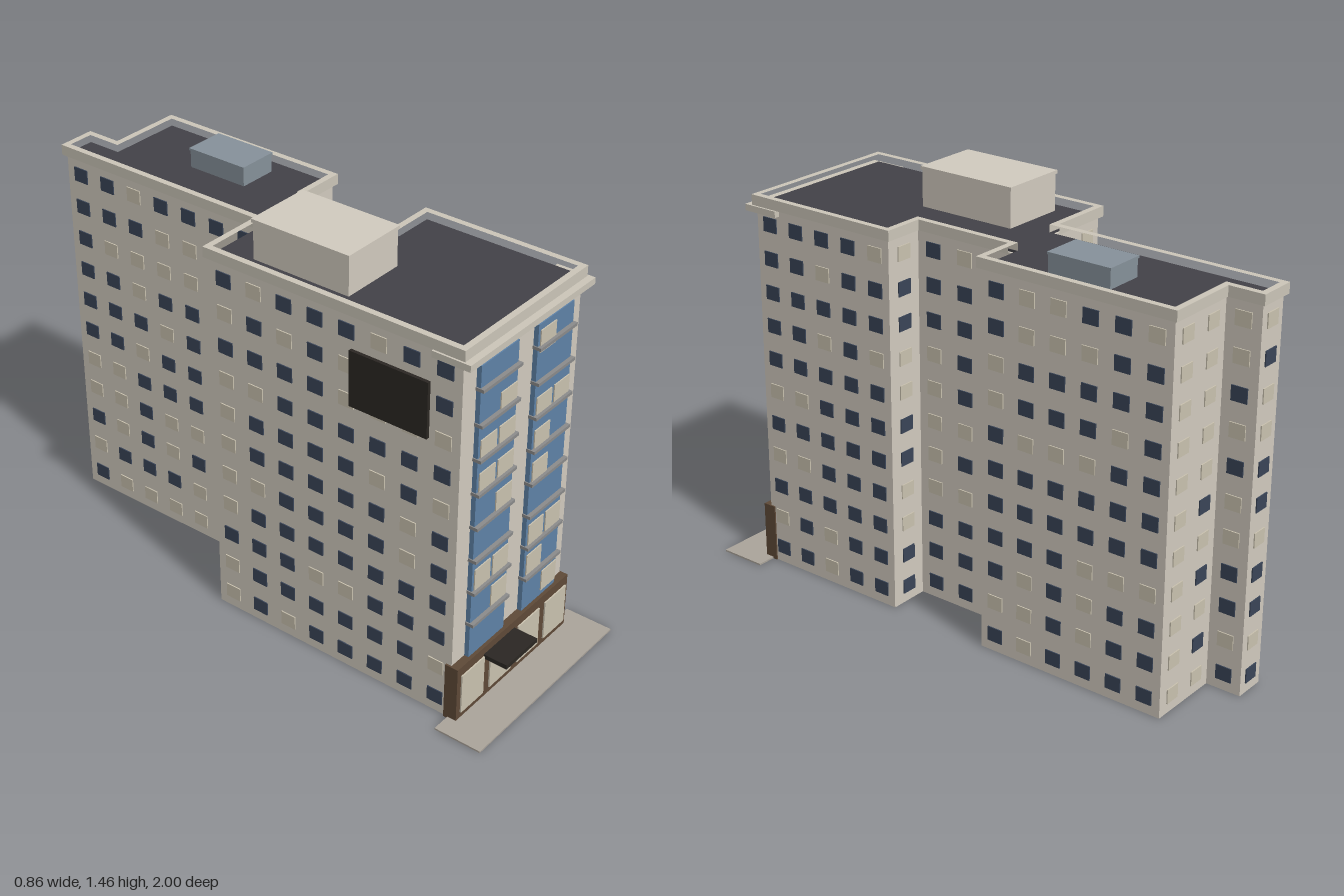
import * as THREE from 'three';
import { mergeGeometries } from 'three/addons/utils/BufferGeometryUtils.js';

const mat = (color) => new THREE.MeshStandardMaterial({ color });
const M = {
  wall: mat(0xd3ccc0), trim: mat(0xcdc7ba), roof: mat(0x434248), glass: mat(0x5f83a8),
  dark: mat(0x3a4558), lit: mat(0xcbc3b0), slab: mat(0x8c8c8c), brown: mat(0x5f4a38),
  black: mat(0x2b2723), plant: mat(0x87929b), paving: mat(0xaca59b),
};

// Footprint [x, z] of the stepped tower, before it is turned on its plot
const PLAN = [
  [-0.158, -1.007], [-0.047, -1.007], [-0.047, -0.883], [0.217, -0.883],
  [0.217, -0.184], [0.061, -0.184], [0.061, 0.199], [0.205, 0.199],
  [0.205, 0.77], [-0.395, 0.77], [-0.395, -0.174], [-0.158, -0.174],
];
const FLOORS = 11, FLOOR_H = 0.119;

// Edge i of the plan: start, end, length and outward normal
function edge(i) {
  const a = PLAN[i], b = PLAN[(i + 1) % PLAN.length];
  const dx = b[0] - a[0], dz = b[1] - a[1], len = Math.hypot(dx, dz);
  return { a, b, len, nx: dz / len, nz: -dx / len };
}

// Plan moved outward by t at every side
function offsetPlan(t) {
  return PLAN.map((p, i) => {
    const e = edge(i), f = edge((i + PLAN.length - 1) % PLAN.length);
    return new THREE.Vector2(p[0] + t * (e.nx + f.nx), -(p[1] + t * (e.nz + f.nz)));
  });
}

function prism(outer, y0, y1, hole) {
  const shape = new THREE.Shape(outer);
  if (hole) shape.holes.push(new THREE.Path(hole));
  const g = new THREE.ExtrudeGeometry(shape, { depth: y1 - y0, bevelEnabled: false });
  return g.rotateX(-Math.PI / 2).translate(0, y0, 0);
}

// Box given by its limits on each axis
function box(x0, x1, y0, y1, z0, z1) {
  return new THREE.BoxGeometry(x1 - x0, y1 - y0, z1 - z0)
    .translate((x0 + x1) / 2, (y0 + y1) / 2, (z0 + z1) / 2);
}

// Small seeded generator for lit and unlit rooms
let seed = 7;
const rand = () => (seed = (seed * 16807) % 2147483647) / 2147483647;

// Known lighting per wall, top floor first (1 = dark)
const LIGHTS = {
  2: ['0', '0', '0', '0', '0', '1', '0', '1', '0', '1', '0'],
  3: ['011001', '110001', '111110', '101110', '110001', '111111', '111111', '000111', '110101', '110100', '111101'],
  5: ['101', '111', '111', '110', '010', '100', '010', '000', '011', '011', '011'],
  7: ['01111', '11011', '11111', '01011', '11111', '11100', '11111', '11100', '11111', '11010', '11011'],
};
const BLANK = [4, 8];

function windows() {
  const out = { dark: [], lit: [] };
  PLAN.forEach((_, i) => {
    if (BLANK.includes(i)) return;
    const { a, b, len, nx, nz } = edge(i);
    const n = Math.max(1, Math.round(len / FLOOR_H));
    for (let f = 0; f < FLOORS; f++) {
      for (let c = 0; c < n; c++) {
        const t = (c + 0.5) / n, row = LIGHTS[i] && LIGHTS[i][FLOORS - 1 - f];
        const isDark = row ? row[c] === '1' : rand() < 0.65;
        const g = new THREE.BoxGeometry(0.057, 0.05, 0.008).rotateY(Math.atan2(nx, nz))
          .translate(a[0] + (b[0] - a[0]) * t, 0.06 + f * FLOOR_H, a[1] + (b[1] - a[1]) * t);
        out[isDark ? 'dark' : 'lit'].push(g);
      }
    }
  });
  return out;
}

export function createModel() {
  const model = new THREE.Group();
  model.name = 'apartmentTower';
  const tower = new THREE.Group();
  tower.name = 'tower';
  tower.rotation.y = 0.161;
  model.add(tower);
  const add = (name, geometry, material) => {
    const mesh = new THREE.Mesh(geometry, material);
    mesh.name = name;
    tower.add(mesh);
  };

  // Body, roof and parapet
  add('walls', prism(offsetPlan(0), 0, 1.31, null), M.wall);
  add('roof', prism(offsetPlan(-0.008), 1.31, 1.318, null), M.roof);
  add('parapet', prism(offsetPlan(0.012), 1.309, 1.345, offsetPlan(-0.01)), M.trim);
  add('frontCornice', box(-0.414, 0.224, 1.287, 1.309, 0.672, 0.806), M.trim);

  // Rooftop stair housing and plant unit
  add('stairHousing', box(-0.334, -0.1, 1.31, 1.443, -0.046, 0.316), M.wall);
  add('stairHousingCap', box(-0.338, -0.096, 1.443, 1.455, -0.05, 0.32), M.wall);
  add('plantUnit', box(0.014, 0.152, 1.31, 1.378, -0.611, -0.385), M.plant);
  add('plantUnitCap', box(0.011, 0.155, 1.378, 1.386, -0.614, -0.382), M.plant);

  // Side and rear windows
  const w = windows();
  add('darkWindows', mergeGeometries(w.dark), M.dark);
  add('litWindows', mergeGeometries(w.lit), M.lit);

  // Two glazed bays; per floor, bottom first: bit 1 = left pane lit, bit 2 = right pane lit
  const bays = [
    { x: -0.329, lit: [0, 2, 3, 0, 2, 3, 3, 2, 0] },
    { x: -0.041, lit: [2, 1, 3, 0, 1, 1, 3, 0, 1] },
  ];
  const glass = [], panes = [], slabs = [];
  for (const { x, lit } of bays) {
    glass.push(box(x, x + 0.188, 0.2, 1.26, 0.765, 0.786));
    lit.forEach((bits, f) => {
      const y = 0.228 + f * 0.1168;
      for (let k = 0; k < 2; k++) {
        if (bits & (1 << k)) {
          const px = x + 0.01 + k * 0.094;
          panes.push(box(px, px + 0.081, y, y + 0.076, 0.78, 0.79));
        }
      }
    });
    for (let k = 0; k < 8; k++) {
      const y = 0.33 + k * 0.1208;
      slabs.push(box(x - 0.004, x + 0.192, y, y + 0.011, 0.765, 0.8));
    }
  }
  add('bayGlass', mergeGeometries(glass), M.glass);
  add('bayLitPanes', mergeGeometries(panes), M.lit);
  add('baySlabs', mergeGeometries(slabs), M.slab);

  // Ground floor shopfront with canopy and paving
  add('shopfront', box(-0.402, 0.21, 0, 0.208, 0.75, 0.798), M.brown);
  const shop = [];
  for (let k = 0; k < 4; k++) {
    const x = -0.382 + k * 0.153;
    shop.push(box(x, x + 0.12, 0.028, 0.174, 0.79, 0.803));
  }
  add('shopWindows', mergeGeometries(shop), M.lit);
  add('canopy', box(-0.262, -0.094, 0.165, 0.181, 0.79, 0.884), M.black);
  add('paving', box(-0.469, 0.279, 0, 0.006, 0.766, 0.936), M.paving);

  // Blank sign board on the long side wall
  add('signBoard', box(-0.42, -0.408, 1.012, 1.203, 0.384, 0.668), M.black);
  add('signBacking', box(-0.41, -0.39, 1.03, 1.185, 0.4, 0.652), M.black);

  return model;
}
